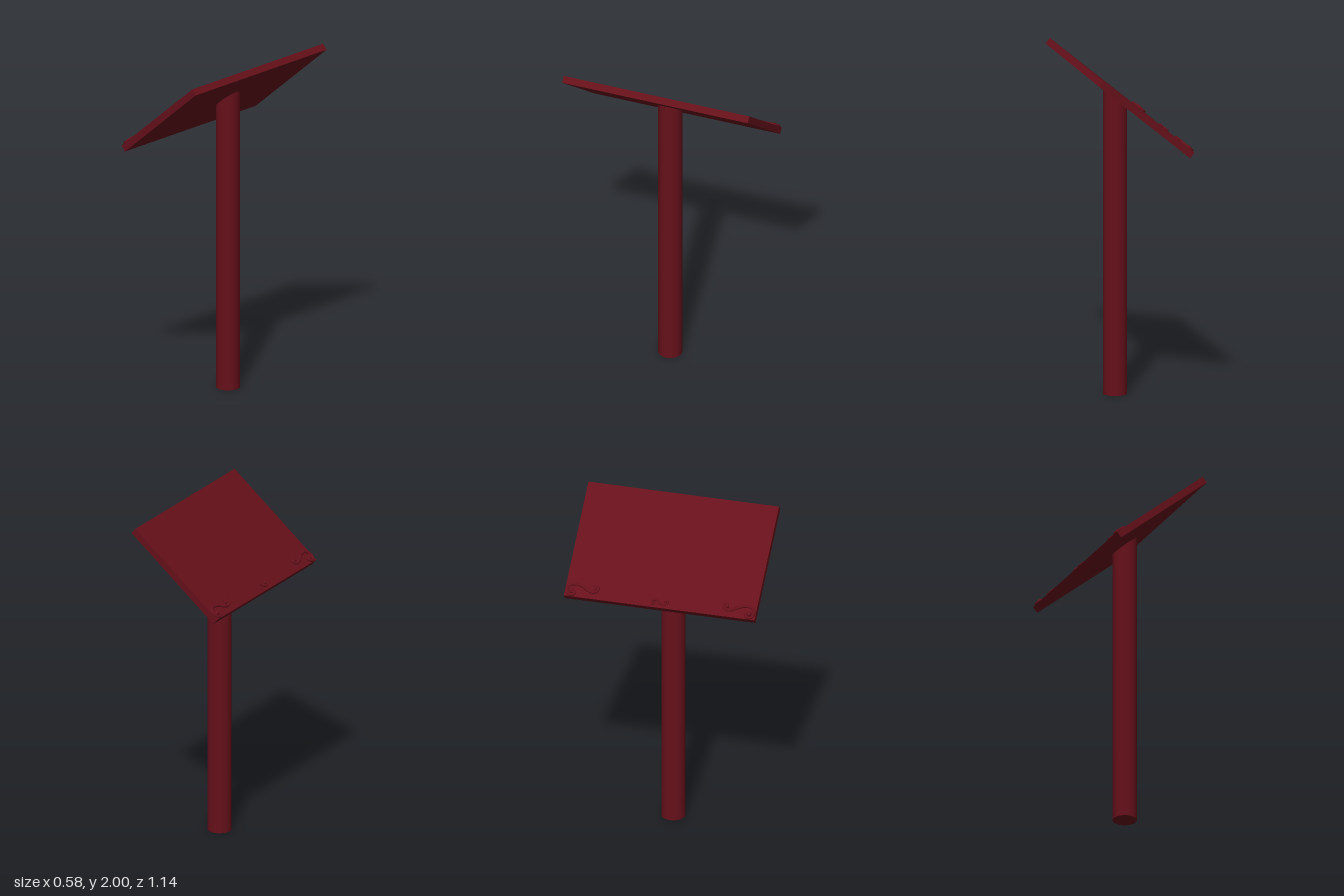
import * as THREE from 'three';

const TILT = THREE.MathUtils.degToRad(40);
const LENGTH = 0.716, THICK = 0.041, WIDTH = 1.144, CENTRE_Y = 1.755;
const material = new THREE.MeshStandardMaterial({ color: 0x66101a });

function mesh(name, geometry) {
  const m = new THREE.Mesh(geometry, material);
  m.name = name;
  return m;
}

// Raised scroll on the board: points are [along the slope, across the board]
function scroll(name, points, radius, startBall, endBall, mirror = 1) {
  const group = new THREE.Group();
  group.name = name;
  const path = points.map(([u, z]) => new THREE.Vector3(u, 0, z * mirror));
  const curve = new THREE.CatmullRomCurve3(path, false, 'centripetal');
  const stem = mesh('scrollStem', new THREE.TubeGeometry(curve, 70, radius, 10));
  const balls = [[path[0], startBall], [path[path.length - 1], endBall]];
  group.add(stem);
  for (const [p, r] of balls) {
    const ball = mesh('scrollCurl', new THREE.SphereGeometry(r, 16, 10));
    ball.position.copy(p);
    group.add(ball);
  }
  group.scale.y = 0.9;
  group.position.y = THICK / 2 + 0.003;
  return group;
}

export function createModel() {
  const model = new THREE.Group();

  // Round post, its top cut along the slope of the board
  const postGeo = new THREE.CylinderGeometry(0.07, 0.07, 1.7, 48);
  postGeo.translate(0.03, 0.85, 0);
  const pos = postGeo.attributes.position;
  for (let i = 0; i < pos.count; i++) {
    if (pos.getY(i) > 1) pos.setY(i, CENTRE_Y + pos.getX(i) * Math.tan(TILT));
  }
  model.add(mesh('post', postGeo));

  // Sloping board with its ornaments along the lower edge
  const desk = new THREE.Group();
  desk.name = 'desk';
  desk.position.y = CENTRE_Y;
  desk.rotation.z = TILT;
  desk.add(mesh('board', new THREE.BoxGeometry(LENGTH, THICK, WIDTH)));

  const corner = [
    [-0.323, -0.532], [-0.332, -0.513], [-0.346, -0.524], [-0.345, -0.548],
    [-0.316, -0.561], [-0.286, -0.545], [-0.279, -0.513], [-0.287, -0.475],
    [-0.308, -0.437], [-0.317, -0.405], [-0.303, -0.381], [-0.282, -0.380],
    [-0.281, -0.394], [-0.294, -0.396],
  ];
  desk.add(scroll('rightCornerScroll', corner, 0.009, 0.015, 0.011));
  desk.add(scroll('leftCornerScroll', corner, 0.009, 0.015, 0.011, -1));

  const middle = [
    [-0.328, -0.034], [-0.339, -0.036], [-0.336, -0.047], [-0.322, -0.048],
    [-0.310, -0.037], [-0.313, -0.018], [-0.331, 0.002], [-0.335, 0.024],
    [-0.325, 0.043], [-0.311, 0.043], [-0.306, 0.034], [-0.317, 0.031],
  ];
  desk.add(scroll('middleScroll', middle, 0.006, 0.008, 0.008));

  model.add(desk);
  return model;
}
